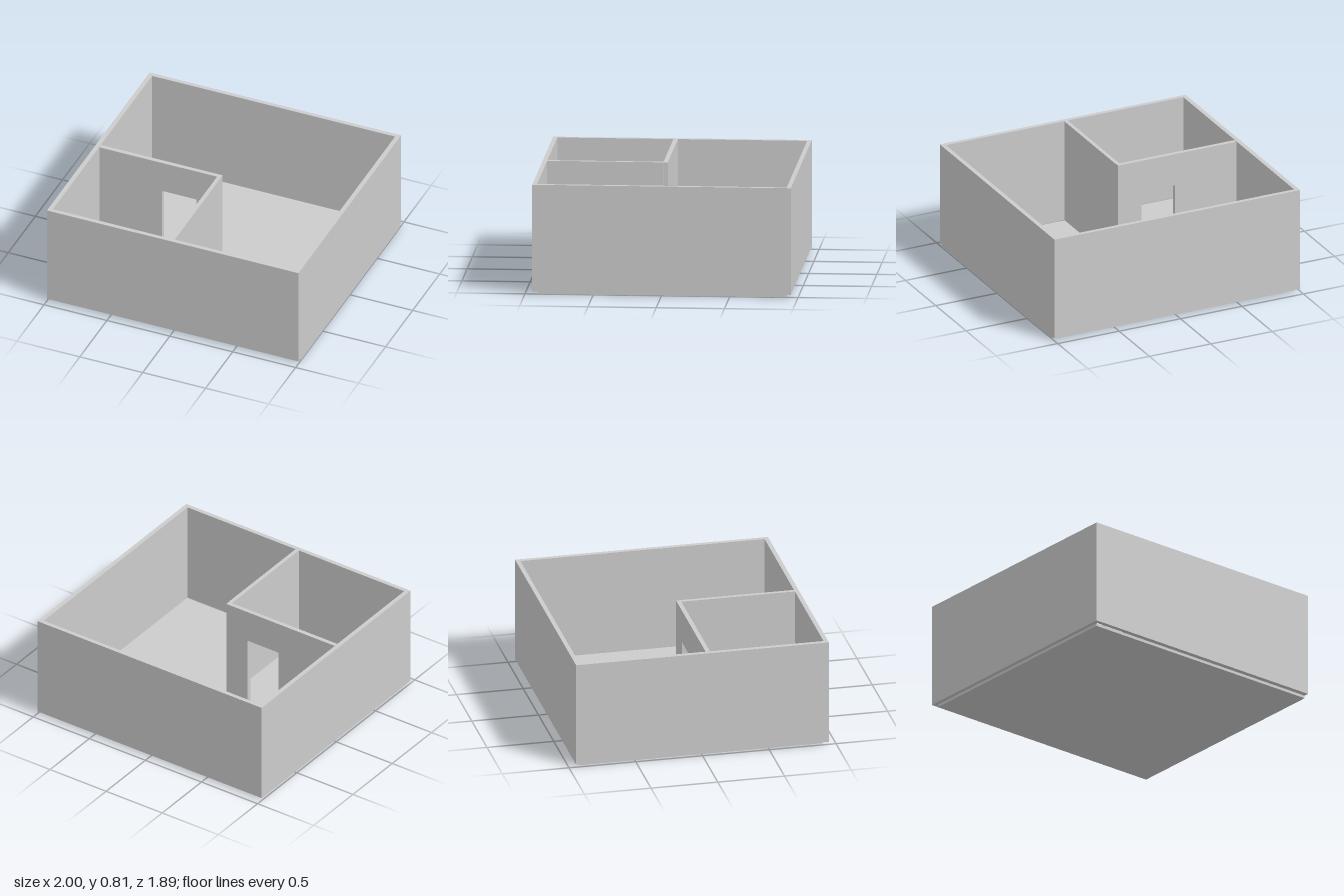
import * as THREE from 'three';

const material = new THREE.MeshStandardMaterial({ color: 0xcccccc, flatShading: true });
const FLOOR = 0.02; // top of the floor slab
const TOP = 0.81;   // top of all walls

// Box given by its lower and upper bounds on each axis
function block(name, [x0, x1], [y0, y1], [z0, z1]) {
  const mesh = new THREE.Mesh(new THREE.BoxGeometry(x1 - x0, y1 - y0, z1 - z0), material);
  mesh.name = name;
  mesh.position.set((x0 + x1) / 2, (y0 + y1) / 2, (z0 + z1) / 2);
  return mesh;
}

// Wall along x with a doorway reaching down to the floor
function doorWall(name, [x0, x1], [z0, z1], [d0, d1], doorTop) {
  const outline = [
    [x0, FLOOR], [d0, FLOOR], [d0, doorTop], [d1, doorTop],
    [d1, FLOOR], [x1, FLOOR], [x1, TOP], [x0, TOP],
  ].map(([x, y]) => new THREE.Vector2(x, y));
  const geometry = new THREE.ExtrudeGeometry(new THREE.Shape(outline), {
    depth: z1 - z0, bevelEnabled: false,
  });
  const mesh = new THREE.Mesh(geometry, material);
  mesh.name = name;
  mesh.position.z = z0;
  return mesh;
}

export function createModel() {
  const model = new THREE.Group();
  model.name = 'roofless house';
  const height = [FLOOR, TOP];

  // Floor slab, set back under the walls on three sides
  model.add(block('floor', [-0.97, 1], [0, FLOOR], [-0.915, 0.907]));

  // Outer walls
  model.add(block('frontWall', [-1, 1], height, [0.914, 0.947]));
  model.add(block('backWall', [-1, 1], height, [-0.947, -0.915]));
  model.add(block('leftWall', [0.966, 1], height, [-0.915, 0.914]));
  model.add(block('rightWall', [-1, -0.966], height, [-0.915, 0.914]));

  // Small room in the front corner
  model.add(block('roomSideWall', [-0.027, 0.003], height, [0.064, 0.914]));
  model.add(doorWall('roomDoorWall', [-0.962, 0.001], [0.031, 0.064], [-0.465, -0.19], 0.56));

  return model;
}
